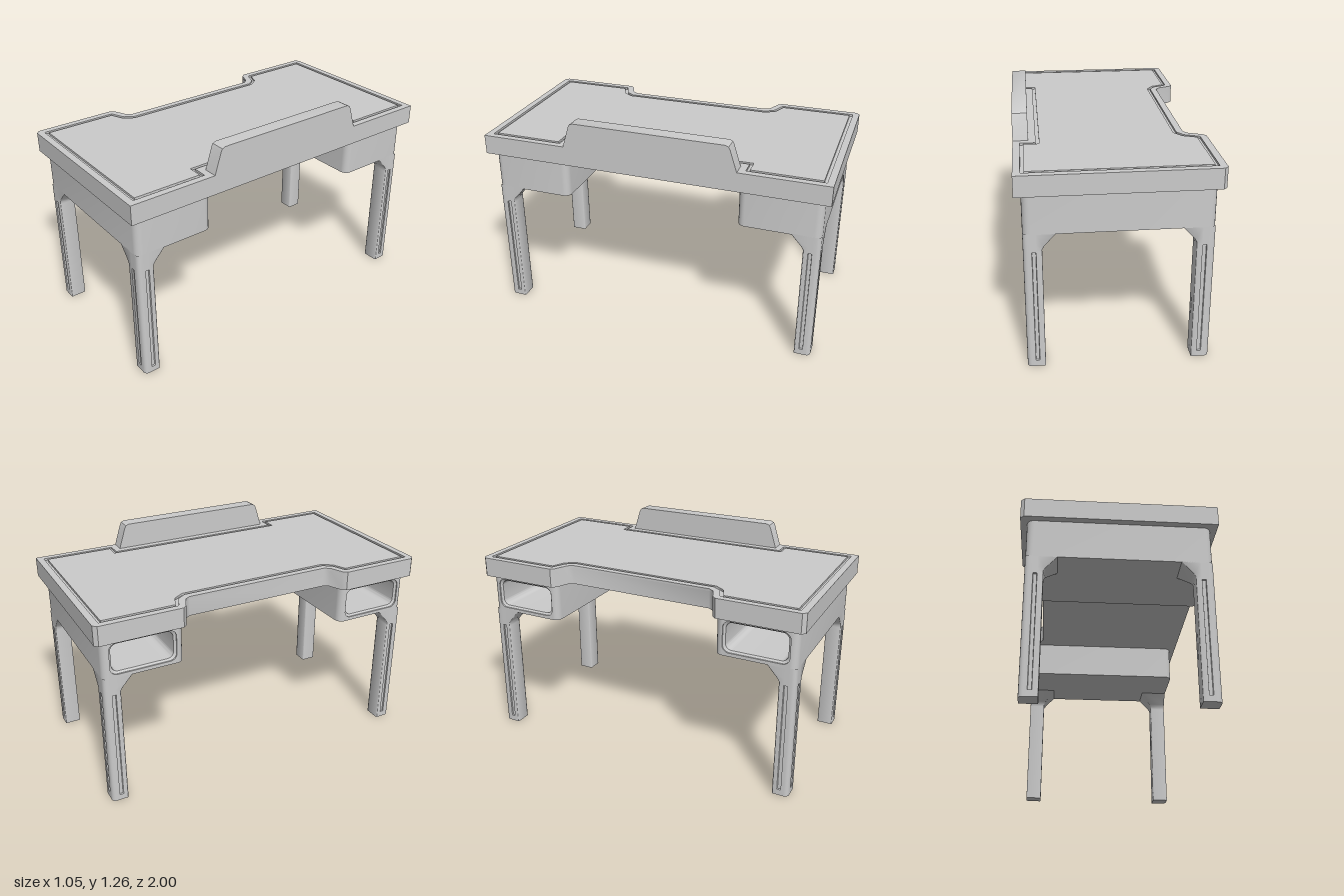
import * as THREE from 'three';
import { toCreasedNormals } from 'three/addons/utils/BufferGeometryUtils.js';

const material = new THREE.MeshStandardMaterial({ color: 0xcccccc });

function part(name, geometry, crease = 0.6) {
  const mesh = new THREE.Mesh(toCreasedNormals(geometry, crease), material);
  mesh.name = name;
  return mesh;
}

const toShape = (pts) => new THREE.Shape(pts.map(([x, y]) => new THREE.Vector2(x, y)));

// Moves every edge of a counter-clockwise outline inward by d
function inset(pts, d) {
  return pts.map((p, i) => {
    const a = pts[(i + pts.length - 1) % pts.length], b = pts[(i + 1) % pts.length];
    const l1 = Math.hypot(p[0] - a[0], p[1] - a[1]), l2 = Math.hypot(b[0] - p[0], b[1] - p[1]);
    const n1 = [-(p[1] - a[1]) / l1, (p[0] - a[0]) / l1];
    const n2 = [-(b[1] - p[1]) / l2, (b[0] - p[0]) / l2];
    const k = d / (1 + n1[0] * n2[0] + n1[1] * n2[1]);
    return [p[0] + k * (n1[0] + n2[0]), p[1] + k * (n1[1] + n2[1])];
  });
}

// Horizontal plate from a plan outline
function plate(shape, y, height) {
  return new THREE.ExtrudeGeometry(shape, { depth: height, bevelEnabled: false })
    .rotateX(-Math.PI / 2).translate(0, y, 0);
}

// Desk top: notched slab, raised rim, groove and inner panel
function createTop() {
  const top = new THREE.Group();
  top.name = 'deskTop';
  const mirror = (pts) => pts.map(([x, z]) => [x, -z]).reverse();
  const notch = [[-0.525, 0.515], [-0.505, 0.492], [-0.43, 0.46], [-0.41, 0.43]];
  const half = [[0.525, 1], [-0.505, 1], [-0.525, 0.98], ...notch];
  const outline = [...half, ...mirror(half)];
  // The groove has plain corners and steps inward around the riser
  const grooveHalf = [[0.44, 0.5], [0.525, 0.5], [0.525, 1], [-0.525, 1], ...notch];
  const groove = [...grooveHalf, ...mirror(grooveHalf)];
  const rim = toShape(outline);
  rim.holes.push(toShape(inset(groove, 0.038)));
  top.add(part('slab', plate(toShape(outline), 1.0, 0.1)));
  top.add(part('rim', plate(rim, 1.1, 0.012)));
  top.add(part('innerPanel', plate(toShape(inset(groove, 0.056)), 1.1, 0.012)));

  const profile = [[-0.5, 1.11], [0.5, 1.11], [0.46, 1.235], [0.452, 1.25], [0.435, 1.258],
    [-0.435, 1.258], [-0.452, 1.25], [-0.46, 1.235]];
  top.add(part('riser', new THREE.ExtrudeGeometry(toShape(profile), { depth: 0.083, bevelEnabled: false })
    .rotateY(Math.PI / 2).translate(0.442, 0, 0)));
  return top;
}

// Compartment open at the -x end, with rounded upright corners
function createCompartment(name, zCentre) {
  const W = 0.23, R = 0.04, cy = 0.89, hw = 0.188, hh = 0.09, r = 0.04;
  const shape = toShape([[-W, 0.78], [W, 0.78], [W, 1], [-W, 1]]);
  const mouth = new THREE.Path();
  [[1, 1], [-1, 1], [-1, -1], [1, -1]].forEach(([sx, sy], i) => {
    mouth.absarc(sx * (hw - r), cy + sy * (hh - r), r, i * Math.PI / 2, (i + 1) * Math.PI / 2);
  });
  shape.holes.push(mouth);

  // Stations along x: [x, how far the side walls draw in]
  const arc = [0, 1, 2, 3, 4, 5].map((i) => {
    const a = (i / 5) * Math.PI / 2;
    return [0.49 - R * (1 - Math.cos(a)), R * (1 - Math.sin(a))];
  });
  const stations = [...arc.map(([x, d]) => [-x, d]), ...arc.slice().reverse()];
  const n = stations.length - 1;
  const geo = new THREE.ExtrudeGeometry(shape, { depth: 1, steps: n, bevelEnabled: false, curveSegments: 6 });
  const pos = geo.attributes.position;
  for (let i = 0; i < pos.count; i++) {
    const k = Math.round(pos.getZ(i) * n), [x, draw] = stations[k];
    let z = pos.getX(i), y = pos.getY(i);
    if (Math.abs(z) > W - 0.001) {
      z = Math.sign(z) * (W - draw);
    } else if (k === n) { // the cavity closes at the far end
      z = 0;
      y = cy;
    } else if (k > 2) { // lip inside the mouth
      z *= 0.93;
      y = cy + (y - cy) * 0.88;
    }
    pos.setXYZ(i, z, y, x);
  }
  const compartment = part(name, geo.rotateY(Math.PI / 2));
  compartment.position.z = zCentre;
  return compartment;
}

// Leg with grooved outer faces and a flared bracket at the top
function legGeometry(sx, sz) {
  const x0 = 0.393, x1 = 0.49, z0 = 0.87, z1 = 0.963, c = 0.006, R = 0.024;
  const corner = (cx, cz, r, start) => [0, 1, 2, 3, 4].map((i) => {
    const a = start + (i / 4) * Math.PI / 2;
    return [cx + r * Math.cos(a), cz + r * Math.sin(a), 0, 0];
  });
  // Section points: x, z and groove direction
  const section = [
    ...corner(x1 - c, z0 + c, c, -Math.PI / 2),
    [x1, 0.898, 0, 0], [x1, 0.9, -1, 0], [x1, 0.918, -1, 0], [x1, 0.92, 0, 0],
    ...corner(x1 - R, z1 - R, R, 0),
    [0.446, z1, 0, 0], [0.444, z1, 0, -1], [0.426, z1, 0, -1], [0.424, z1, 0, 0],
    ...corner(x0 + c, z1 - c, c, Math.PI / 2),
    ...corner(x0 + c, z0 + c, c, Math.PI),
  ];
  // Levels: height, groove depth, flare
  const levels = [[0, 0, 0], [0.035, 0, 0], [0.037, 0.008, 0], [0.678, 0.008, 0], [0.68, 0, 0],
    [0.695, 0, 0], [0.715, 0, 0.012], [0.785, 0, 0.075]];
  const n = section.length, verts = [], index = [];
  for (const [y, g, f] of levels) {
    for (const [x, z, gx, gz] of section) {
      const px = x + gx * g - (x < x0 + c + 0.001 ? f : 0);
      const pz = z + gz * g - (z < z0 + c + 0.001 ? f : 0);
      verts.push(px * sx, y, pz * sz);
    }
  }
  const tri = (a, b, d) => (sx * sz > 0 ? index.push(a, b, d) : index.push(a, d, b));
  for (let k = 0; k < levels.length - 1; k++) {
    for (let i = 0; i < n; i++) {
      const a = k * n + i, b = k * n + (i + 1) % n;
      tri(a, a + n, b);
      tri(b, a + n, b + n);
    }
  }
  for (let i = 1; i < n - 1; i++) tri(0, i, i + 1); // foot
  const geo = new THREE.BufferGeometry();
  geo.setAttribute('position', new THREE.Float32BufferAttribute(verts, 3));
  geo.setIndex(index);
  return geo;
}

export function createModel() {
  const desk = new THREE.Group();
  desk.name = 'desk';
  desk.add(createTop());
  desk.add(createCompartment('frontCompartment', 0.733), createCompartment('backCompartment', -0.733));
  for (const sx of [1, -1]) {
    for (const sz of [1, -1]) {
      const name = (sz > 0 ? 'front' : 'back') + (sx > 0 ? 'Left' : 'Right') + 'Leg';
      desk.add(part(name, legGeometry(sx, sz), 0.9));
    }
  }
  return desk;
}
